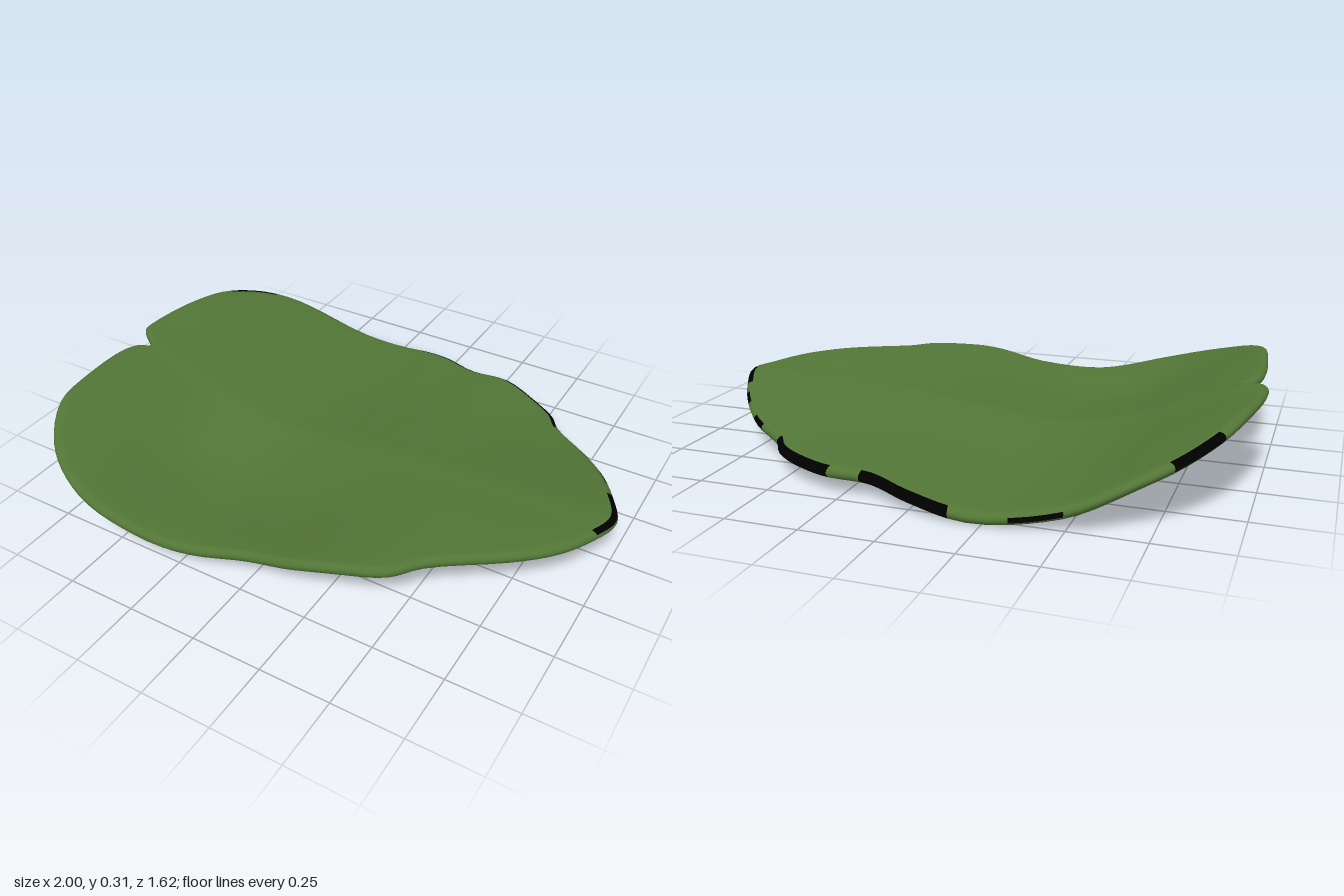
import * as THREE from 'three';

// Rim seen from above, as x, z pairs, starting at the stem notch
const RIM = [
  [-0.92, 0.04], [-0.97, 0], [-0.995, -0.03], [-1, -0.12], [-0.97, -0.33], [-0.92, -0.5],
  [-0.8, -0.66], [-0.6, -0.76], [-0.4, -0.79], [-0.15, -0.81], [0, -0.78], [0.15, -0.72],
  [0.3, -0.72], [0.45, -0.65], [0.55, -0.58], [0.6, -0.51], [0.75, -0.39], [0.85, -0.28],
  [0.94, -0.14], [1, 0], [0.97, 0.1], [0.9, 0.23], [0.78, 0.35], [0.55, 0.51], [0.47, 0.6],
  [0.33, 0.66], [0.18, 0.7], [0, 0.71], [-0.2, 0.76], [-0.4, 0.8], [-0.57, 0.805],
  [-0.7, 0.77], [-0.82, 0.69], [-0.93, 0.53], [-0.96, 0.35], [-0.97, 0.15], [-0.955, 0.085],
];

// Height of the curled blade: rows run from z = -0.8 to 0.8, columns from x = -1 to 1
const HEIGHTS = [
  [0.26, 0.18, 0.07, 0.028, 0.055, 0.075, 0.065, 0.07, 0.1],
  [0.29, 0.2, 0.09, 0.045, 0.065, 0.095, 0.09, 0.095, 0.13],
  [0.29, 0.205, 0.11, 0.07, 0.095, 0.125, 0.145, 0.155, 0.165],
  [0.31, 0.21, 0.09, 0.055, 0.09, 0.14, 0.168, 0.183, 0.185],
  [0.315, 0.22, 0.14, 0.085, 0.11, 0.165, 0.178, 0.19, 0.19],
];

// Dark patches on the back rim: first and last rim point, first and last band round the edge
const DARK_PATCHES = [
  [5, 6, 1, 4], [7.5, 8.25, 3, 4], [9, 11.25, 1, 5], [12, 15, 1, 5],
  [15.75, 16.25, 2, 5], [17, 17.5, 2, 4], [18, 20, 1, 2],
];

// Smooth interpolation through evenly spaced values, t from 0 to 1
function smoothSample(values, t) {
  const last = values.length - 1;
  const p = THREE.MathUtils.clamp(t, 0, 1) * last;
  const i = Math.min(Math.floor(p), last - 1);
  const f = p - i;
  const at = (k) => values[THREE.MathUtils.clamp(k, 0, last)];
  const m0 = (at(i + 1) - at(i - 1)) / 2;
  const m1 = (at(i + 2) - at(i)) / 2;
  const f2 = f * f, f3 = f2 * f;
  return (2 * f3 - 3 * f2 + 1) * at(i) + (f3 - 2 * f2 + f) * m0
    + (3 * f2 - 2 * f3) * at(i + 1) + (f3 - f2) * m1;
}

function bladeHeight(x, z) {
  const column = HEIGHTS.map((row) => smoothSample(row, (x + 1) / 2));
  const midrib = 0.004 * Math.exp(-((z / 0.06) ** 2));
  return smoothSample(column, (z + 0.8) / 1.6) + midrib;
}

// Closed blade: rings go from the top centre, round the rim, to the bottom centre
function bladeGeometry() {
  const curve = new THREE.CatmullRomCurve3(
    RIM.map(([x, z]) => new THREE.Vector3(x, 0, z)), true, 'centripetal');
  const perPoint = 4;
  const steps = RIM.length * perPoint;
  const rim = curve.getPoints(steps).slice(0, steps);
  const halfThickness = 0.023;
  const centreZ = 0.035;
  const faceRings = 16;
  const rimBands = 8;
  const flat = 0.96;

  const rings = [];
  for (let i = 0; i <= faceRings; i++) rings.push([flat * i / faceRings, 1]);
  for (let i = 1; i < rimBands; i++) {
    const a = Math.PI * i / rimBands;
    rings.push([flat + (1 - flat) * Math.sin(a), Math.cos(a)]);
  }
  for (let i = faceRings; i >= 0; i--) rings.push([flat * i / faceRings, -1]);

  const positions = [];
  for (const [s, side] of rings) {
    for (const p of rim) {
      const x = p.x * s;
      const z = centreZ + (p.z - centreZ) * s;
      positions.push(x, bladeHeight(x, z) + side * halfThickness, z);
    }
  }

  const isDark = (band, point) => DARK_PATCHES.some(
    ([from, to, first, last]) => point >= from && point < to && band >= first && band <= last);

  const green = [], dark = [];
  for (let r = 0; r < rings.length - 1; r++) {
    for (let i = 0; i < steps; i++) {
      const j = (i + 1) % steps;
      const a = r * steps + i, b = r * steps + j;
      const c = a + steps, d = b + steps;
      const target = isDark(r - faceRings, i / perPoint) ? dark : green;
      if (r > 0) target.push(a, b, c);
      if (r < rings.length - 2) target.push(b, d, c);
    }
  }

  const geometry = new THREE.BufferGeometry();
  geometry.setAttribute('position', new THREE.Float32BufferAttribute(positions, 3));
  geometry.setIndex([...green, ...dark]);
  geometry.addGroup(0, green.length, 0);
  geometry.addGroup(green.length, dark.length, 1);
  geometry.computeVertexNormals();
  geometry.computeBoundingBox();
  geometry.translate(0, -geometry.boundingBox.min.y, 0);
  return geometry;
}

export function createModel() {
  const leafGreen = new THREE.MeshStandardMaterial({ color: 0x527636 });
  leafGreen.name = 'leaf green';
  const rimBlack = new THREE.MeshStandardMaterial({ color: 0x000000 });
  rimBlack.name = 'rim black';

  const blade = new THREE.Mesh(bladeGeometry(), [leafGreen, rimBlack]);
  blade.name = 'leafBlade';

  const leaf = new THREE.Group();
  leaf.name = 'leaf';
  leaf.add(blade);
  return leaf;
}
